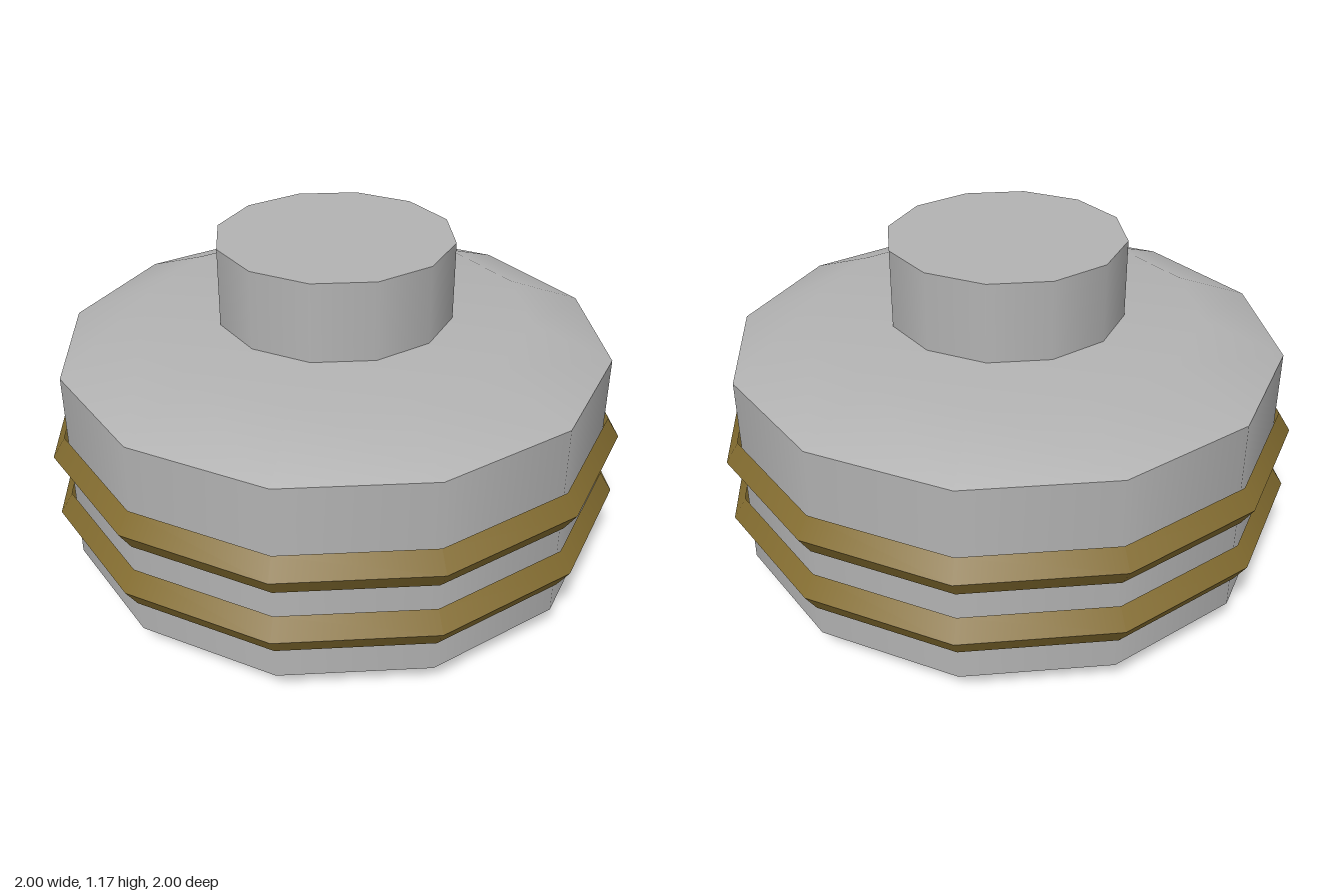
import * as THREE from 'three';

const SIDES = 12;

export function createModel() {
  const model = new THREE.Group();
  const grey = new THREE.MeshStandardMaterial({ color: 0xb2b2b2, side: THREE.DoubleSide });
  grey.name = 'grey metal';
  const brass = new THREE.MeshStandardMaterial({ color: 0x846d30, side: THREE.DoubleSide });
  brass.name = 'dark brass';

  // Each section is turned separately so the edges between sections stay sharp
  function turned(name, material, sections, y = 0) {
    const part = new THREE.Group();
    part.name = name;
    sections.forEach((points, i) => {
      const profile = points.map(([r, h]) => new THREE.Vector2(r, h));
      const mesh = new THREE.Mesh(new THREE.LatheGeometry(profile, SIDES), material);
      mesh.name = `${name}Section${i + 1}`;
      part.add(mesh);
    });
    part.position.y = y;
    model.add(part);
  }

  // Drum: shallow base, straight wall, sloped shoulder
  turned('drum', grey, [
    [[0, 0], [0.44, 0], [0.945, 0.092]],
    [[0.945, 0.092], [0.945, 0.79]],
    [[0.945, 0.79], [0.67, 0.9], [0, 0.9]],
  ]);

  // Neck with a flat cap
  turned('neck', grey, [
    [[0.404, 0.9], [0.404, 1.17]],
    [[0.404, 1.17], [0, 1.17]],
  ]);

  // Two V-shaped bands standing just clear of the wall
  [['lowerBand', 0.272], ['upperBand', 0.498]].forEach(([name, y]) => {
    turned(name, brass, [
      [[0.957, -0.068], [1, 0]],
      [[1, 0], [0.957, 0.068]],
    ], y);
  });

  return model;
}
